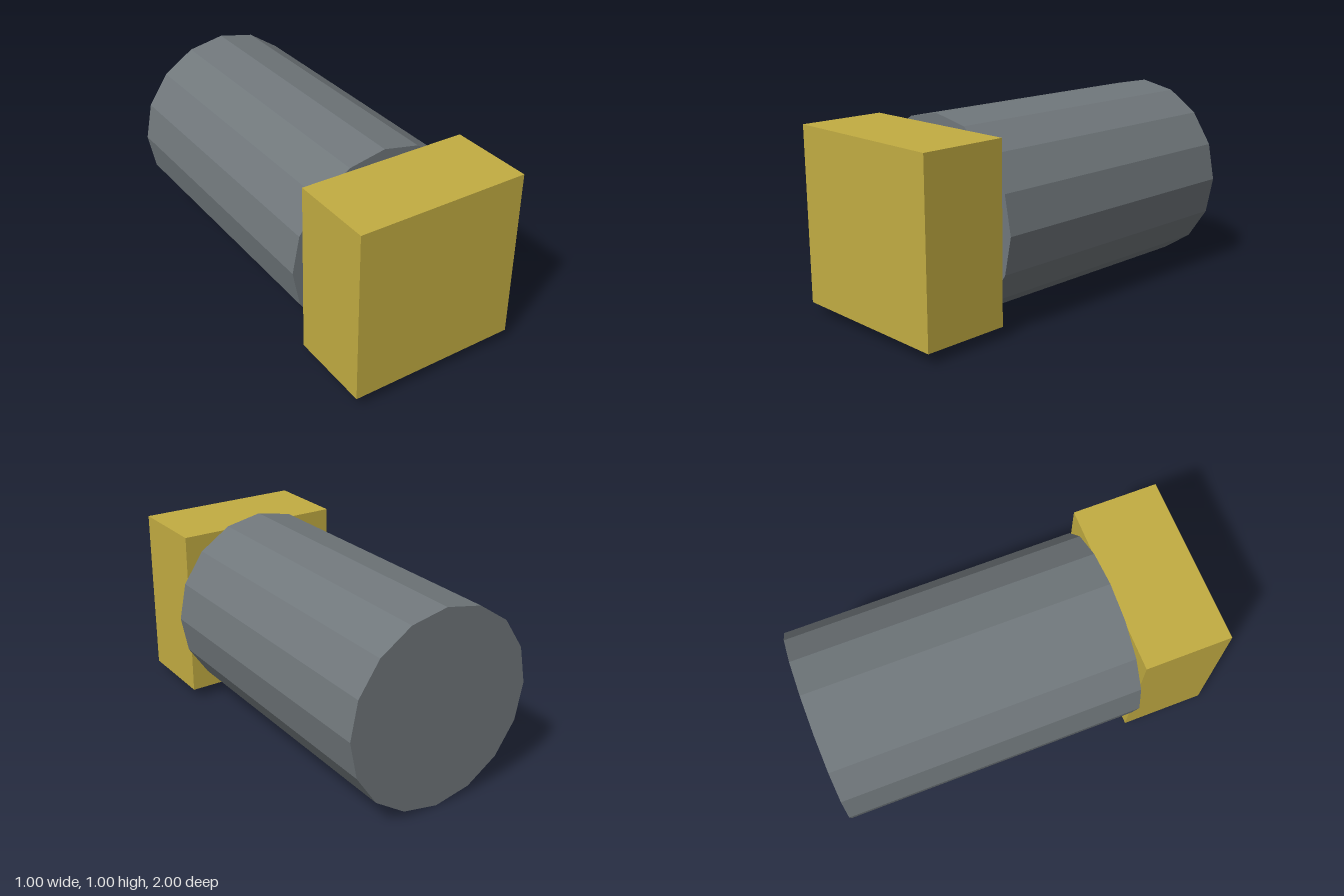
import * as THREE from 'three';

const RADIUS = 0.5;
const JOINT_Z = 0.555; // where the barrel meets the square head

export function createModel() {
  const model = new THREE.Group();

  function addPart(name, geometry, color, z) {
    const material = new THREE.MeshStandardMaterial({ color, flatShading: true });
    const mesh = new THREE.Mesh(geometry, material);
    mesh.name = name;
    mesh.position.set(0, RADIUS, z);
    model.add(mesh);
  }

  // Sixteen-sided barrel lying along z, with closed ends
  const length = JOINT_Z + 1;
  const barrel = new THREE.CylinderGeometry(RADIUS, RADIUS, length, 16);
  barrel.rotateX(Math.PI / 2);
  addPart('barrel', barrel, 0x70777b, JOINT_Z - length / 2);

  // Square head on the front end
  const depth = 1 - JOINT_Z;
  addPart('squareHead', new THREE.BoxGeometry(0.89, 0.89, depth), 0xc2ac42, 1 - depth / 2);

  return model;
}
